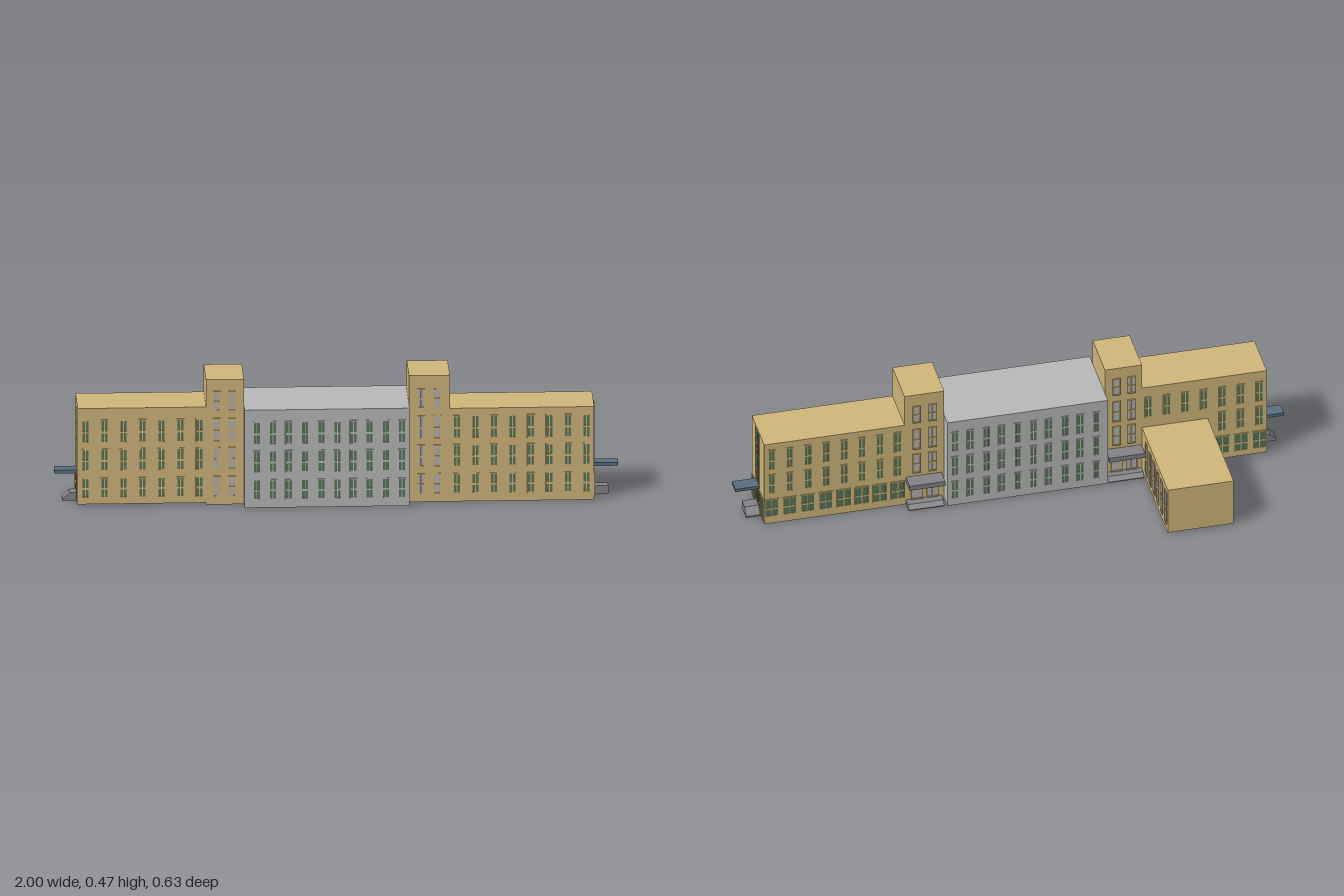
import * as THREE from 'three';
import { mergeGeometries } from 'three/addons/utils/BufferGeometryUtils.js';

const mat = (color) => new THREE.MeshStandardMaterial({ color, flatShading: true });
const M = {
  tan: mat(0xd2b87c), grey: mat(0xbababa), green: mat(0x587558),
  pale: mat(0xb4b4b8), slate: mat(0x587080), stone: mat(0x858589),
};
const TURN = { front: 0, back: Math.PI, right: Math.PI / 2, left: -Math.PI / 2 };
const TWO_ROWS = [[0.05, 0.42], [0.5, 0.95]];
const ONE_ROW = [[0.06, 0.94]];
const FLOORS = [[0.03, 0.105], [0.13, 0.212], [0.233, 0.32]];

export function createModel() {
  const model = new THREE.Group();
  const add = (name, geo, material) => {
    const m = new THREE.Mesh(geo, material);
    m.name = name;
    model.add(m);
    return m;
  };
  const block = (name, [x0, x1], [y0, y1], [z0, z1], material) =>
    add(name, new THREE.BoxGeometry(x1 - x0, y1 - y0, z1 - z0)
      .translate((x0 + x1) / 2, (y0 + y1) / 2, (z0 + z1) / 2), material);

  // Building masses
  block('leftEndWing', [-0.92, -0.465], [0.007, 0.362], [0.08, 0.265], M.tan);
  block('westTower', [-0.465, -0.33], [0, 0.463], [0.08, 0.265], M.tan);
  block('centralBlock', [-0.33, 0.255], [0, 0.362], [0.036, 0.311], M.grey);
  block('eastTower', [0.255, 0.4], [0, 0.468], [0.083, 0.265], M.tan);
  block('rightEndWing', [0.4, 0.912], [0, 0.345], [0.08, 0.265], M.tan);
  block('rearAnnex', [-0.705, -0.465], [0.005, 0.19], [-0.312, 0.08], M.tan);

  // Windows: a raised frame with openings, and panes set behind it
  const batches = {};
  const collect = (name, geo, material) => {
    (batches[name] ??= { material, list: [] }).list.push(geo);
  };
  function windowAt(face, plane, u, [y0, y1], w, o = {}) {
    const { cols = 2, rows = TWO_ROWS, frame = 'tan', glass = 'green', depth = 0.005 } = o;
    const h = y1 - y0, rim = 0.0028;
    const shape = new THREE.Shape();
    const rect = (path, a, b, c, d) =>
      path.moveTo(a, b).lineTo(c, b).lineTo(c, d).lineTo(a, d).closePath();
    rect(shape, -w / 2, 0, w / 2, h);
    const cell = (w - rim * (cols + 1)) / cols;
    for (const [r0, r1] of rows) {
      for (let i = 0; i < cols; i++) {
        const a = -w / 2 + rim + i * (cell + rim);
        const hole = new THREE.Path();
        rect(hole, a, r0 * h, a + cell, r1 * h);
        shape.holes.push(hole);
      }
    }
    const place = (geo) => {
      const sideways = face === 'right' || face === 'left';
      geo.rotateY(TURN[face]);
      return geo.translate(sideways ? plane : u, y0, sideways ? u : plane);
    };
    collect(frame + 'WindowFrames',
      place(new THREE.ExtrudeGeometry(shape, { depth, bevelEnabled: false })), M[frame]);
    collect(glass + 'WindowPanes',
      place(new THREE.PlaneGeometry(w * 0.96, h * 0.96).translate(0, h / 2, 0.0015)), M[glass]);
  }
  const spread = (first, last, n) =>
    Array.from({ length: n }, (_, i) => first + (last - first) * i / (n - 1));

  // Long facades, front and back; wide ground-floor windows behind the wings
  const facades = [
    { xs: spread(-0.893, -0.488, 7), front: 0.265, back: 0.08, frame: 'tan', wide: 0.054 },
    { xs: spread(-0.287, 0.228, 10), front: 0.311, back: 0.036, frame: 'grey', wide: 0.027 },
    { xs: spread(0.425, 0.885, 8), front: 0.265, back: 0.08, frame: 'tan', wide: 0.052 },
  ];
  for (const { xs, front, back, frame, wide } of facades) {
    for (const x of xs) {
      FLOORS.forEach((span, floor) => {
        windowAt('front', front, x, span, 0.027, { frame, depth: 0.003 });
        const besideAnnex = floor < 2 && x > -0.74 && x < -0.46;
        if (!besideAnnex) windowAt('back', back, x, span, floor ? 0.027 : wide, { frame, depth: 0.003 });
      });
    }
  }

  // Tower windows and rear doors
  const towers = [
    { xs: [-0.427, -0.373], back: 0.08 },
    { xs: [0.298, 0.355], back: 0.083 },
  ];
  for (const { xs, back } of towers) {
    for (const x of xs) {
      for (const span of [...FLOORS, [0.348, 0.42]]) {
        windowAt('front', 0.265, x, span, 0.026, { glass: 'pale' });
        if (span[0] > 0.1) windowAt('back', back, x, span, 0.03, { glass: 'pale' });
      }
      windowAt('back', back, x, [0.017, 0.09], 0.042, { rows: ONE_ROW, glass: 'pale' });
    }
  }

  // End walls: stair windows, ground-floor windows and door
  for (const [face, x] of [['right', 0.912], ['left', -0.92]]) {
    const o = { depth: 0.003 };
    windowAt(face, x, 0.178, [0.293, 0.342], 0.054, { ...o, rows: ONE_ROW });
    windowAt(face, x, 0.178, [0.234, 0.291], 0.054, o);
    windowAt(face, x, 0.178, [0.18, 0.23], 0.054, { ...o, rows: ONE_ROW });
    windowAt(face, x, 0.178, [0.122, 0.178], 0.054, o);
    for (const z of [0.232, 0.118]) windowAt(face, x, z, [0.012, 0.098], 0.062, o);
    windowAt(face, x, 0.175, [0.03, 0.098], 0.046, { ...o, rows: ONE_ROW });
  }

  // Annex windows
  for (const z of spread(0.008, -0.28, 6)) {
    windowAt('right', -0.465, z, [0.03, 0.168], 0.031, {
      cols: 1, rows: [[0.07, 0.44], [0.57, 0.95]], glass: 'pale', depth: 0.003,
    });
  }
  for (const [name, { material, list }] of Object.entries(batches)) {
    const geos = list.map((g) => (g.index ? g.toNonIndexed() : g));
    add(name, mergeGeometries(geos), material);
  }

  // Canopies over the end doors and rear doors
  block('rightCanopy', [0.912, 1], [0.105, 0.117], [0.151, 0.202], M.slate);
  block('leftCanopy', [-1, -0.92], [0.103, 0.115], [0.151, 0.202], M.slate);
  block('rearCanopyWest', [-0.463, -0.332], [0.097, 0.116], [0.025, 0.08], M.stone);
  block('rearCanopyEast', [0.265, 0.395], [0.097, 0.116], [0.025, 0.083], M.stone);

  // Steps with one ramped end, extruded along their width
  const ramp = (name, length, slope, h, width) => {
    const s = new THREE.Shape();
    s.moveTo(0, 0).lineTo(length, 0).lineTo(length, 0.2 * h)
      .lineTo(length - slope, h).lineTo(0, h).closePath();
    return add(name, new THREE.ExtrudeGeometry(s, { depth: width, bevelEnabled: false }), M.stone);
  };
  const east = ramp('rightDoorSteps', 0.065, 0.025, 0.03, 0.053);
  east.rotation.y = Math.PI / 2;
  east.position.set(0.912, 0, 0.197);
  const west = ramp('leftDoorSteps', 0.052, 0.025, 0.03, 0.046);
  west.rotation.y = Math.PI;
  west.position.set(-0.92, 0, 0.197);
  for (const [name, x, w] of [['rearStepsWest', -0.463, 0.131], ['rearStepsEast', 0.265, 0.13]]) {
    const step = ramp(name, 0.046, 0.016, 0.017, w);
    step.rotation.y = Math.PI / 2;
    step.position.set(x, 0, 0.083);
  }
  return model;
}
